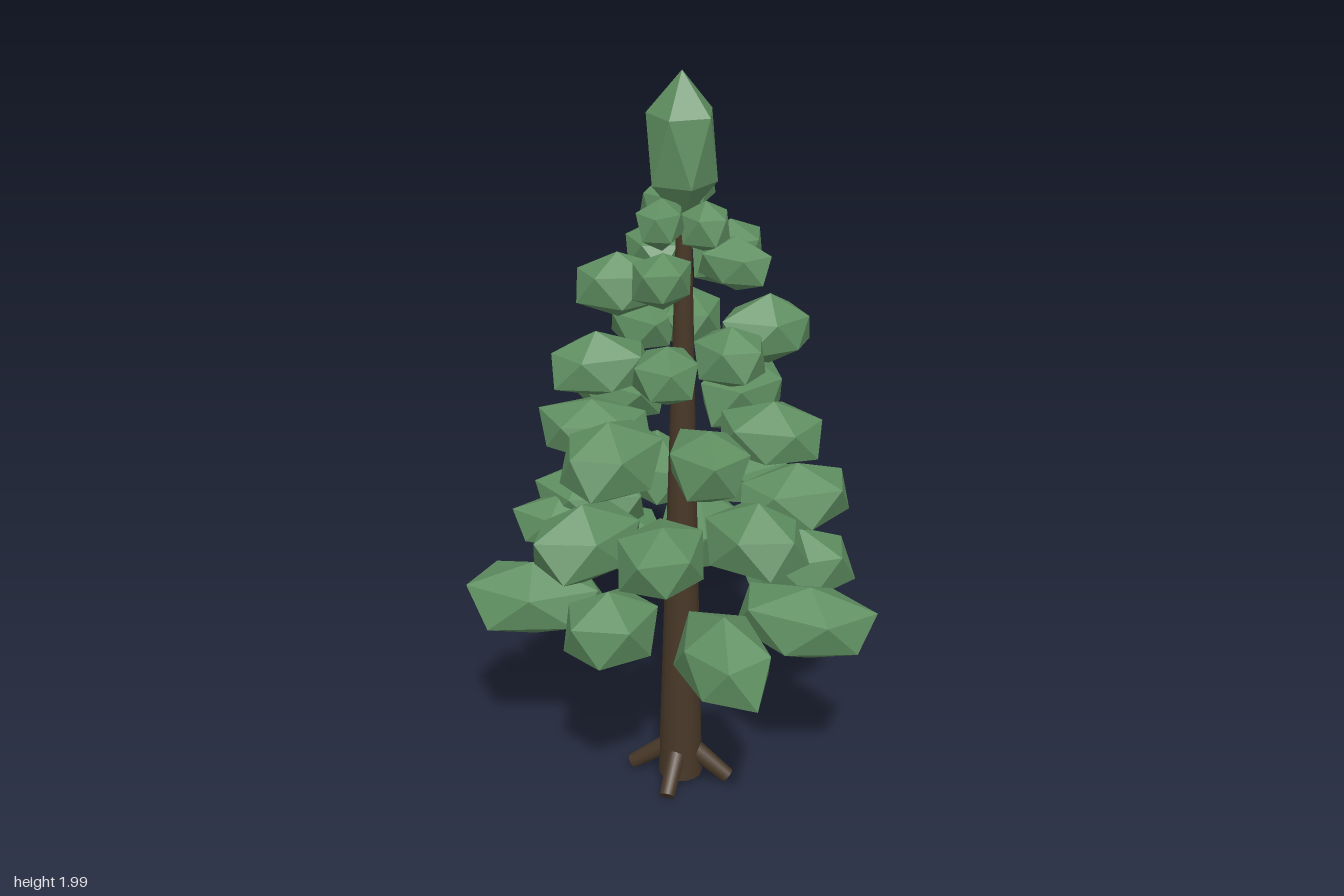
import * as THREE from 'three';

// Foliage clumps: [x, z, y, half length outward, half width, half height]
const TIERS = {
  firstTier: [
    [-0.365, 0.185, 0.555, 0.2, 0.13, 0.105], [-0.05, 0.3, 0.605, 0.15, 0.14, 0.12],
    [0.265, 0.26, 0.585, 0.175, 0.125, 0.12], [0.355, -0.04, 0.58, 0.195, 0.13, 0.105],
    [0.22, -0.24, 0.62, 0.165, 0.13, 0.11], [-0.13, -0.3, 0.61, 0.17, 0.125, 0.115],
    [-0.27, -0.1, 0.63, 0.17, 0.13, 0.1],
  ],
  secondTier: [
    [-0.26, 0.07, 0.83, 0.16, 0.13, 0.105], [-0.13, 0.29, 0.83, 0.16, 0.125, 0.105],
    [0.1, 0.28, 0.84, 0.155, 0.12, 0.1], [0.26, 0.08, 0.845, 0.15, 0.125, 0.1],
    [0.22, -0.21, 0.84, 0.16, 0.125, 0.095], [0.04, -0.26, 0.85, 0.145, 0.135, 0.1],
    [-0.2, -0.19, 0.83, 0.16, 0.12, 0.1], [-0.28, 0.165, 0.8, 0.14, 0.09, 0.08],
  ],
  thirdTier: [
    [-0.28, -0.13, 1.08, 0.17, 0.13, 0.09], [-0.04, 0.3, 1.085, 0.145, 0.12, 0.1],
    [0.18, 0.19, 1.085, 0.14, 0.11, 0.1], [0.22, -0.07, 1.07, 0.14, 0.12, 0.09],
    [0.05, -0.22, 1.1, 0.135, 0.12, 0.105], [-0.2, 0.13, 1.07, 0.15, 0.12, 0.09],
  ],
  fourthTier: [
    [-0.17, 0.15, 1.26, 0.135, 0.1, 0.085], [0.05, 0.17, 1.29, 0.11, 0.09, 0.075],
    [0.155, 0.04, 1.31, 0.11, 0.09, 0.085], [0.16, -0.15, 1.32, 0.125, 0.095, 0.09],
    [-0.105, -0.2, 1.29, 0.125, 0.1, 0.085], [-0.19, -0.1, 1.29, 0.125, 0.09, 0.08],
  ],
  fifthTier: [
    [-0.145, 0.085, 1.46, 0.115, 0.085, 0.08], [0.03, 0.155, 1.525, 0.1, 0.08, 0.075],
    [0.15, 0.01, 1.54, 0.1, 0.07, 0.07], [0.06, -0.12, 1.52, 0.11, 0.075, 0.085],
    [-0.135, -0.075, 1.51, 0.1, 0.085, 0.07],
  ],
  sixthTier: [
    [-0.06, 0.0, 1.66, 0.07, 0.06, 0.068], [0.0, 0.11, 1.65, 0.08, 0.06, 0.065],
    [0.075, 0.03, 1.63, 0.075, 0.065, 0.068], [-0.01, -0.07, 1.7, 0.07, 0.055, 0.068],
  ],
};

// Icosahedron standing on one point, one corner facing +z, with its corners
// nudged a little and its back half stretched by the inward factor
function clumpGeometry(sx, sy, sz, seed, jitter, inward) {
  const g = new THREE.IcosahedronGeometry(1, 0);
  g.rotateX(-Math.atan((1 + Math.sqrt(5)) / 2));
  g.rotateY(Math.sin(seed * 1.7) * 0.35);
  const p = g.attributes.position;
  const v = new THREE.Vector3();
  for (let i = 0; i < p.count; i++) {
    v.fromBufferAttribute(p, i);
    const n = Math.sin(v.x * 5.3 + v.y * 7.1 + v.z * 9.7 + seed * 2.3);
    v.multiplyScalar(1 + jitter * n);
    p.setXYZ(i, v.x * sx, v.y * sy, v.z * sz * (v.z < 0 ? inward : 1));
  }
  g.computeVertexNormals();
  return g;
}

// Cylinder between two points
function limb(a, b, rA, rB, sides, material) {
  const dir = b.clone().sub(a);
  const mesh = new THREE.Mesh(new THREE.CylinderGeometry(rB, rA, dir.length(), sides), material);
  mesh.position.copy(a).addScaledVector(dir, 0.5);
  mesh.quaternion.setFromUnitVectors(new THREE.Vector3(0, 1, 0), dir.normalize());
  return mesh;
}

export function createModel() {
  const model = new THREE.Group();
  const bark = new THREE.MeshStandardMaterial({ color: 0x483828 });
  bark.name = 'bark brown';
  const needles = new THREE.MeshStandardMaterial({ color: 0x5f8f61, flatShading: true });
  needles.name = 'needle green';

  // Tapered trunk
  const cx = -0.006, cz = 0.016;
  const trunk = limb(new THREE.Vector3(cx, 0.02, cz), new THREE.Vector3(0.007, 1.75, cz),
    0.061, 0.016, 16, bark);
  trunk.name = 'trunk';
  model.add(trunk);

  // Four splayed roots
  const roots = new THREE.Group();
  roots.name = 'roots';
  for (let i = 0; i < 4; i++) {
    const a = THREE.MathUtils.degToRad(15 + 90 * i);
    const at = (r, y) => new THREE.Vector3(cx + r * Math.sin(a), y, cz + r * Math.cos(a));
    const root = limb(at(0.035, 0.1), at(0.137, 0.022), 0.027, 0.021, 10, bark);
    root.name = 'root';
    roots.add(root);
  }
  model.add(roots);

  // Rings of foliage, each clump stretched away from the trunk
  let seed = 1;
  for (const [name, clumps] of Object.entries(TIERS)) {
    const tier = new THREE.Group();
    tier.name = name;
    for (const [x, z, y, length, width, height] of clumps) {
      const clump = new THREE.Mesh(clumpGeometry(width, height, length, seed++, 0.09, 1.15), needles);
      clump.name = 'foliageClump';
      clump.position.set(x, y, z);
      clump.rotation.y = Math.atan2(x - cx, z - cz);
      tier.add(clump);
    }
    model.add(tier);
  }

  // Pointed crown
  const crown = new THREE.Mesh(clumpGeometry(0.097, 0.187, 0.097, 0.3, 0, 1), needles);
  crown.name = 'crown';
  crown.position.set(0, 1.813, 0.015);
  model.add(crown);

  return model;
}
